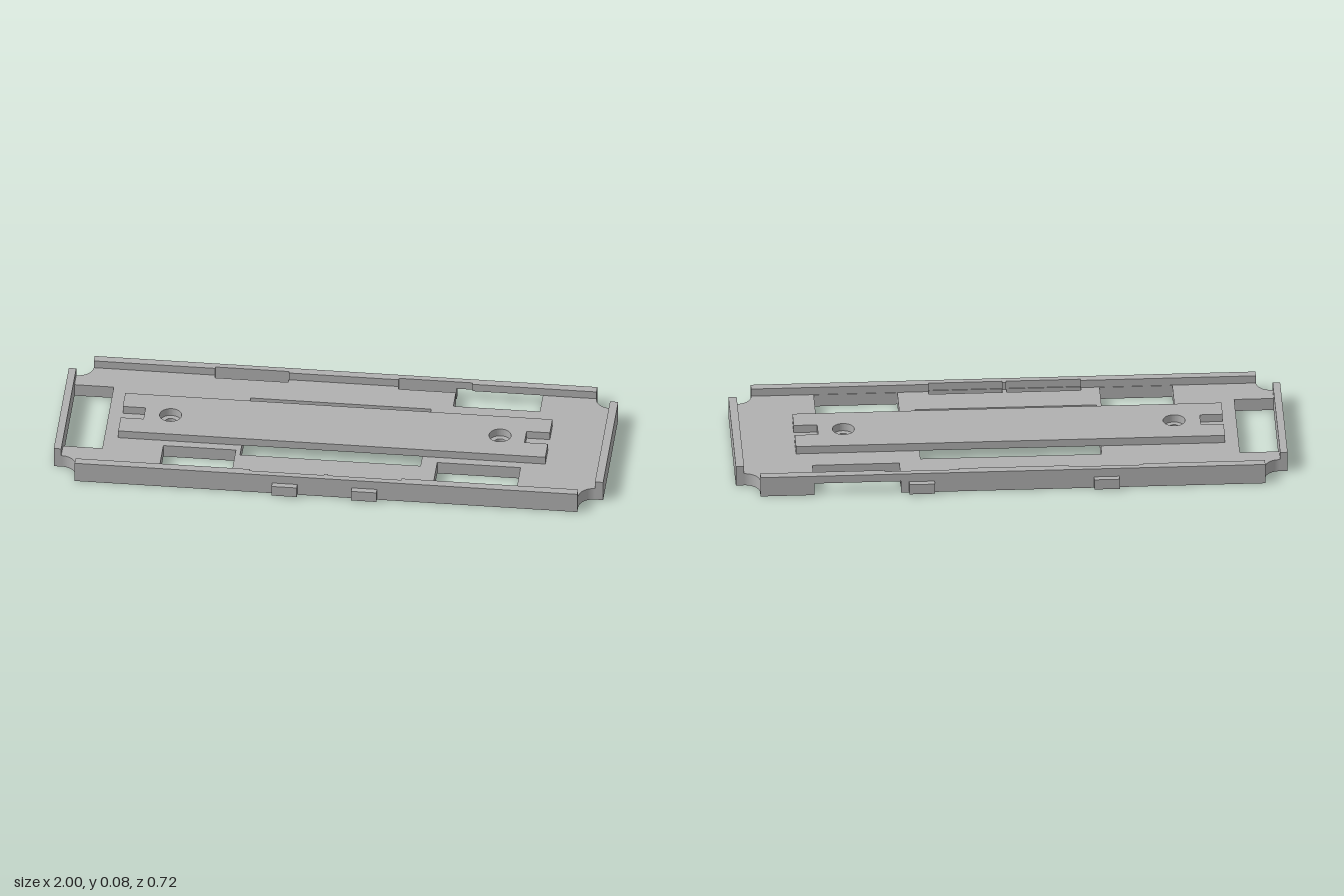
import * as THREE from 'three';

const FLOOR = 0.048; // top of the base plate
const TOP = 0.078;   // top of rails, lips and the central bar

// Shape from [x, z] points
const poly = (pts) => new THREE.Shape(pts.map(([x, z]) => new THREE.Vector2(x, z)));
const rect = (x0, x1, z0, z1) => poly([[x0, z0], [x1, z0], [x1, z1], [x0, z1]]);
const circle = (x, z, r) => new THREE.Path().absarc(x, z, r, 0, Math.PI * 2, false);

// Extrudes a plan-view shape between two heights
function slab(shape, y0, y1, holes = []) {
  shape.holes.push(...holes);
  const g = new THREE.ExtrudeGeometry(shape, { depth: y1 - y0, bevelEnabled: false, curveSegments: 24 });
  g.rotateX(Math.PI / 2);
  g.translate(0, y1, 0);
  return g;
}

export function createModel() {
  const model = new THREE.Group();
  model.name = 'chassisFrame';
  const grey = new THREE.MeshStandardMaterial({ color: 0xb0b0b0 });
  grey.name = 'grey plastic';
  const add = (name, geometry) => {
    const mesh = new THREE.Mesh(geometry, grey);
    mesh.name = name;
    model.add(mesh);
  };

  const screwX = [-0.602, 0.597];

  // Base plate with scooped corners and a cut-out open to the back
  const P = Math.PI;
  const base = new THREE.Shape();
  base.moveTo(-0.915, -0.34);
  [[0.405, -0.34], [0.405, -0.32], [0.195, -0.32], [0.195, -0.293], [0.405, -0.293],
    [0.405, -0.207], [0.72, -0.207], [0.72, -0.34], [0.915, -0.34], [0.915, -0.31]]
    .forEach(([x, z]) => base.lineTo(x, z));
  base.absarc(0.97, -0.31, 0.055, P, P / 2, true);
  base.lineTo(1, -0.255);
  base.lineTo(1, 0.255);
  base.absarc(0.97, 0.31, 0.055, -P / 2, -P, true);
  base.lineTo(0.915, 0.34);
  base.lineTo(-0.915, 0.34);
  base.absarc(-0.97, 0.31, 0.055, 0, -P / 2, true);
  base.lineTo(-1, 0.255);
  base.lineTo(-1, -0.255);
  base.absarc(-0.97, -0.31, 0.055, P / 2, 0, true);
  base.closePath();
  add('basePlate', slab(base, 0, FLOOR, [
    rect(-0.973, -0.83, -0.195, 0.193),   // end window
    rect(-0.33, 0.327, -0.18, 0.18),      // central opening
    rect(-0.612, -0.348, 0.152, 0.307),   // front windows
    rect(0.385, 0.688, 0.152, 0.307),
    rect(-0.473, -0.205, -0.32, -0.293),  // clip slots
    rect(-0.28, -0.01, 0.29, 0.315),
    rect(0.005, 0.272, 0.29, 0.315),
    ...screwX.map((x) => circle(x, 0, 0.021)),
  ]));

  // Side rails, thinned beside the clip slots
  function rail(name, side, slots) {
    const pts = [[-0.915, side * 0.34], [-0.915, side * 0.309]];
    for (const [a, b] of slots) {
      pts.push([a, side * 0.309], [a, side * 0.318], [b, side * 0.318], [b, side * 0.309]);
    }
    pts.push([0.915, side * 0.309], [0.915, side * 0.34]);
    add(name, slab(poly(pts), FLOOR, TOP));
  }
  rail('backRail', -1, [[-0.473, -0.205], [0.195, 0.463]]);
  rail('frontRail', 1, [[-0.28, -0.01], [0.005, 0.272]]);

  // Raised lips at both ends
  add('rightEndLip', slab(rect(-1, -0.973, -0.255, 0.255), FLOOR, TOP));
  add('leftEndLip', slab(rect(0.97, 1, -0.255, 0.255), FLOOR, TOP));

  // Central bar with notched ends and wide screw recesses
  const bar = poly([
    [-0.78, -0.12], [0.775, -0.12], [0.775, -0.035], [0.69, -0.035], [0.69, 0.035], [0.775, 0.035],
    [0.775, 0.12], [-0.78, 0.12], [-0.78, 0.035], [-0.697, 0.035], [-0.697, -0.035], [-0.78, -0.035],
  ]);
  add('centralBar', slab(bar, FLOOR, TOP, screwX.map((x) => circle(x, 0, 0.04))));

  // Small clip tabs on the long sides
  for (const [x, side] of [[-0.34, -1], [0.33, -1], [-0.15, 1], [0.14, 1]]) {
    const tab = new THREE.BoxGeometry(0.092, 0.04, 0.023);
    tab.translate(x, 0.025, side * 0.3505);
    add('clipTab', tab);
  }
  return model;
}
